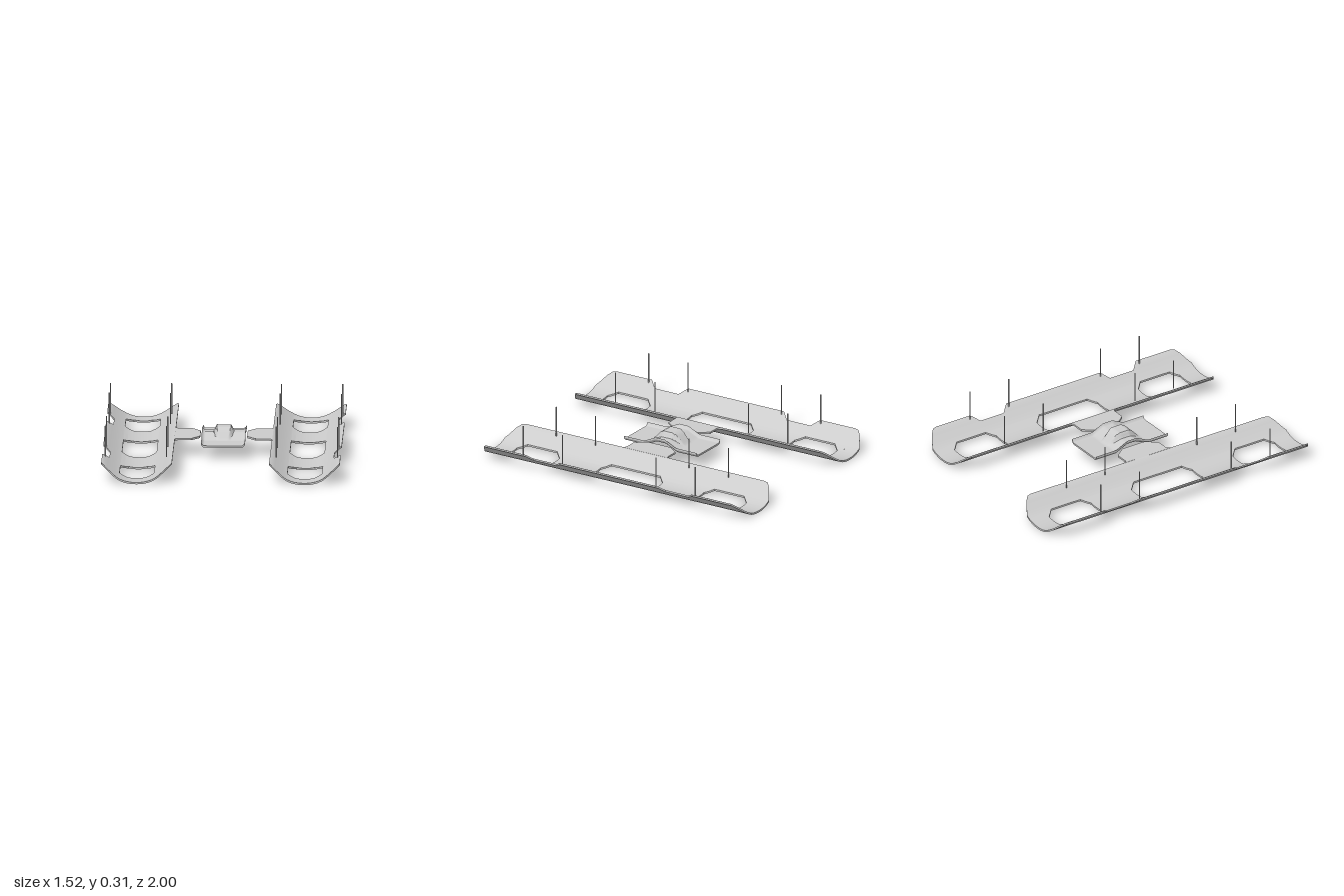
import * as THREE from 'three';
import { toCreasedNormals } from 'three/addons/utils/BufferGeometryUtils.js';

const GREY = new THREE.MeshStandardMaterial({ color: 0xcccccc, side: THREE.DoubleSide });
const THICK = 0.012;
const clamp01 = (v) => Math.min(1, Math.max(0, v));

function addMesh(parent, name, geometry, x = 0, y = 0, z = 0) {
  const mesh = new THREE.Mesh(geometry, GREY);
  mesh.name = name;
  mesh.position.set(x, y, z);
  parent.add(mesh);
  return mesh;
}

// Underside height of the trough at distance u from its centre line
const PROFILE = [[0, 0], [0.03, 0.001], [0.06, 0.006], [0.085, 0.013], [0.11, 0.024], [0.14, 0.043],
  [0.18, 0.075], [0.215, 0.104], [0.225, 0.108]];
function height(u) {
  const a = Math.abs(u);
  for (let i = 1; i < PROFILE.length; i++) {
    const [u0, y0] = PROFILE[i - 1], [u1, y1] = PROFILE[i];
    if (a <= u1) return y0 + (y1 - y0) * (a - u0) / (u1 - u0);
  }
  return 0.108;
}

// Plan contours: outer outline with two edge notches, and three chamfered openings
function troughContours() {
  const corner = [[0.12, 1], [0.19, 0.957], [0.217, 0.93], [0.225, 0.9]];
  const front = [...corner, [0.225, 0.64], [0.18, 0.59], [0.18, 0.41], [0.225, 0.36]];
  const flip = (pts, sx, sz) => pts.map(([u, z]) => [u * sx, z * sz]);
  const outline = [...front, ...flip(front, 1, -1).reverse(),
    ...flip(corner, -1, -1), ...flip(corner, -1, 1).reverse()];
  const hole = (zc, half) => [[0.06, half], [-0.06, half], [-0.11, half - 0.05], [-0.11, 0.05 - half],
    [-0.06, -half], [0.06, -half], [0.11, 0.05 - half], [0.11, half - 0.05]].map(([u, z]) => [u, z + zc]);
  return [outline, hole(0, 0.235), hole(0.708, 0.162), hole(-0.708, 0.162)];
}

// Curved sheet: the plan is sliced into narrow strips and each strip is raised to the profile
function troughGeometry() {
  const contours = troughContours();
  const all = [...contours.flat().map((p) => p[0]), ...PROFILE.flatMap(([u]) => [u, -u])];
  const stations = [...new Set(all.map((u) => Math.round(u * 1000) / 1000 + 0))].sort((a, b) => a - b);
  const pos = [];
  const point = (u, z, top) => [u, height(u) + (top ? THICK : 0), z];
  const quad = (a, b, c, d) => pos.push(...a, ...b, ...c, ...a, ...c, ...d);
  const edges = contours.flatMap((c) => c.map((p, i) => [p, c[(i + 1) % c.length]]));
  const crossings = (u) => edges.filter(([a, b]) => (a[0] < u) !== (b[0] < u))
    .map(([a, b]) => a[1] + (b[1] - a[1]) * (u - a[0]) / (b[0] - a[0])).sort((a, b) => a - b);

  // upper and lower skins
  for (let i = 1; i < stations.length; i++) {
    const u0 = stations[i - 1], u1 = stations[i];
    const za = crossings(u0 + 1e-6), zb = crossings(u1 - 1e-6);
    for (let k = 0; k + 1 < za.length; k += 2) {
      const ring = [[u0, za[k]], [u0, za[k + 1]], [u1, zb[k + 1]], [u1, zb[k]]];
      quad(...ring.map(([u, z]) => point(u, z, true)));
      quad(...ring.map(([u, z]) => point(u, z, false)).reverse());
    }
  }
  // rim walls around every contour
  for (const [a, b] of edges) {
    const cuts = stations.filter((u) => (u - a[0]) * (u - b[0]) < -1e-9)
      .map((u) => (u - a[0]) / (b[0] - a[0])).sort((s, t) => s - t);
    const pts = [0, ...cuts, 1].map((t) => [a[0] + (b[0] - a[0]) * t, a[1] + (b[1] - a[1]) * t]);
    for (let i = 1; i < pts.length; i++) {
      const p = pts[i - 1], q = pts[i];
      quad(point(...p, false), point(...q, false), point(...q, true), point(...p, true));
    }
  }
  const g = new THREE.BufferGeometry();
  g.setAttribute('position', new THREE.Float32BufferAttribute(pos, 3));
  return toCreasedNormals(g, 0.6);
}

// Flat arm, flared where it meets the trough and chamfered toward the middle
function armGeometry() {
  const half = [[0.15, 0.085], [0.205, 0.157], [0.29, 0.157], [0.303, 0.165], [0.312, 0.185]];
  const outline = [...half, ...half.map(([x, z]) => [x, -z]).reverse()];
  const shape = new THREE.Shape(outline.map(([x, z]) => new THREE.Vector2(x, z)));
  return new THREE.ExtrudeGeometry(shape, { depth: THICK, bevelEnabled: false }).rotateX(Math.PI / 2);
}

// Centre plate: a sheet with turned-up side lips, arched in the middle, with a raised tapering rib
function plateGeometry() {
  const g = new THREE.BoxGeometry(0.28, THICK, 0.55, 56, 1, 55);
  const p = g.attributes.position;
  for (let i = 0; i < p.count; i++) {
    const x = Math.abs(p.getX(i)), z = Math.abs(p.getZ(i));
    const lip = 0.02 * clamp01((x - 0.12) / 0.02) ** 2;
    const arch = 0.04 * clamp01((0.12 - z) / 0.085);
    const width = 0.048 - 0.02 * clamp01((z - 0.03) / 0.09);
    const rib = 0.034 * clamp01((width + 0.015 - x) / 0.015) * clamp01((0.12 - z) / 0.06);
    p.setY(i, p.getY(i) + 0.092 + lip + arch + rib);
  }
  return toCreasedNormals(g, 0.5);
}

export function createModel() {
  const model = new THREE.Group();
  model.name = 'twinTroughFrame';
  const trough = troughGeometry(), arm = armGeometry();
  const post = new THREE.CylinderGeometry(0.004, 0.004, 0.2, 8);

  // one side, then the same side turned half way round
  ['left', 'right'].forEach((label, i) => {
    const side = new THREE.Group();
    side.name = label + 'Side';
    side.rotation.y = i * Math.PI;
    addMesh(side, 'trough', trough, 0.535);
    addMesh(side, 'arm', arm, 0, 0.12);
    for (const x of [0.35, 0.74])
      for (const z of [-0.652, -0.354, 0.354, 0.652]) addMesh(side, 'post', post, x, 0.205, z);
    model.add(side);
  });

  addMesh(model, 'centrePlate', plateGeometry());
  return model;
}
